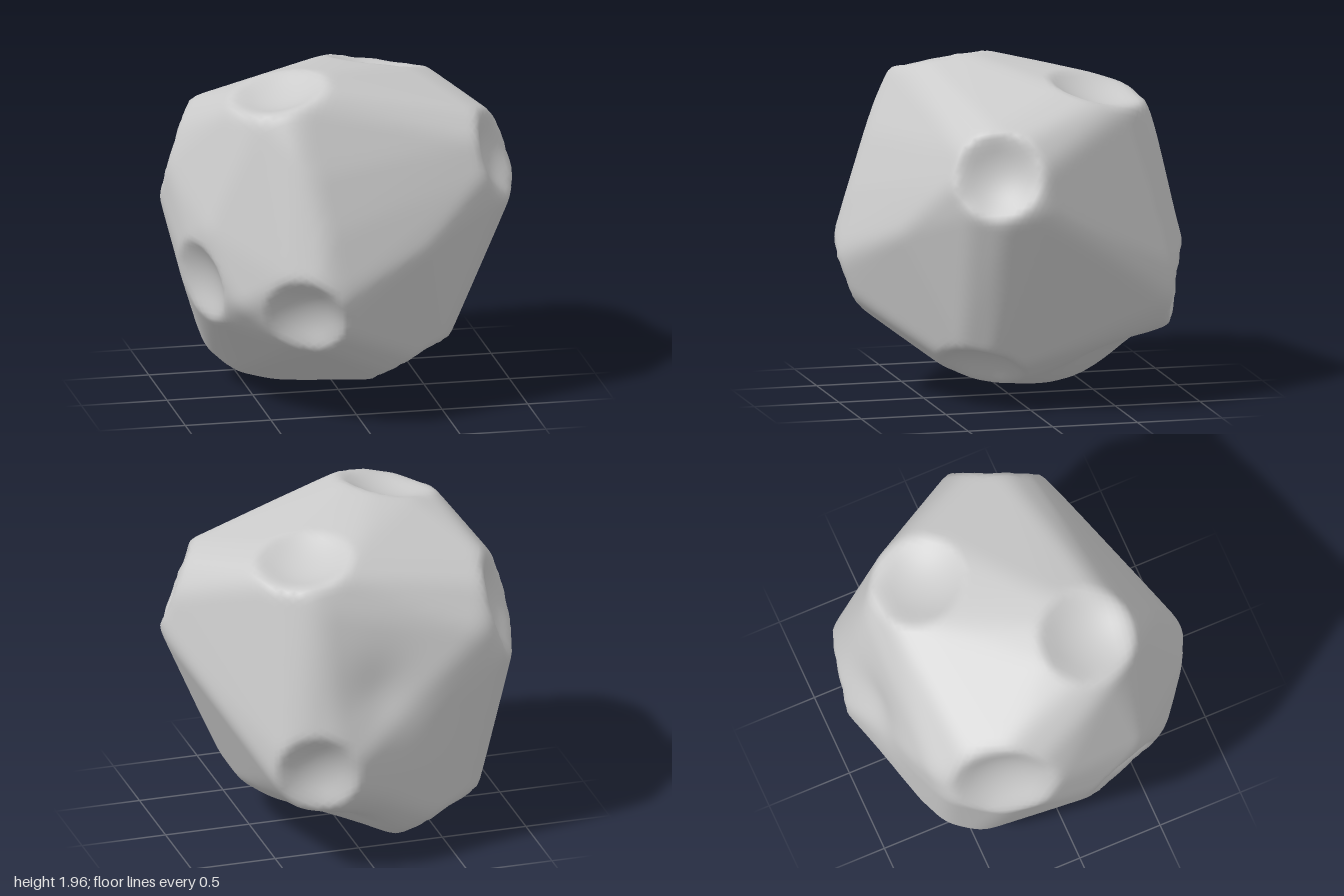
import * as THREE from 'three';
import { mergeVertices } from 'three/addons/utils/BufferGeometryUtils.js';
import { ConvexGeometry } from 'three/addons/geometries/ConvexGeometry.js';

// Craters: rim centre, facing direction, rim radius, depth
const craters = [
  { at: [-0.37, 0.72, 0.84], face: [-0.45, -0.35, 0.85], r: 0.24, depth: 0.09 },
  { at: [0.87, 1.46, 0.28], face: [1, 0.35, 0.45], r: 0.26, depth: 0.09 },
  { at: [-0.42, 1.92, 0.3], face: [-0.2, 1, 0.08], r: 0.28, depth: 0.08 },
  { at: [0.31, 1.84, -0.45], face: [0.14, 1, -0.17], r: 0.28, depth: 0.08 },
  { at: [-0.88, 1.4, -0.42], face: [-1, 0.28, -0.38], r: 0.3, depth: 0.09 },
  { at: [0.37, 0.69, -0.92], face: [0.28, -0.1, -1], r: 0.24, depth: 0.09 },
  { at: [0.37, 0.25, 0.25], face: [0.5, -1, 0.35], r: 0.25, depth: 0.08 },
  { at: [-0.49, 0.16, -0.49], face: [-0.5, -1, -0.5], r: 0.26, depth: 0.08 },
  { at: [-0.87, 0.82, 0.32], face: [-1, -0.2, 0.35], r: 0.24, depth: 0.07 },
].map(({ at, face, r, depth }) => (
  { middle: new THREE.Vector3(...at), normal: new THREE.Vector3(...face).normalize(), r, depth }
));

// Ridges and corners that stand out between the craters
const corners = [
  [-0.13, 1.98, 0.2], [-0.4, 1.68, 0.69], [-0.3, 1.53, 0.76], [-0.25, 1.2, 0.88], [-0.2, 0.87, 0.97],
  [0.37, 1.05, 0.74], [1, 1.25, 0.03], [-0.87, 1.15, 0.45], [-0.72, 0.75, 0.66],
  [-0.78, 1.2, -0.74], [-0.67, 1.4, -0.78], [0.3, 1.65, -0.78], [-0.28, 0, -0.28],
].map((p) => new THREE.Vector3(...p));

// Soft hollows in the body beside the raised back crater
const hollows = [
  { at: new THREE.Vector3(-0.05, 1.1, -0.88), r: 0.25, depth: 0.06 },
  { at: new THREE.Vector3(0.12, 0.33, -0.58), r: 0.25, depth: 0.08 },
];

const CENTRE = new THREE.Vector3(0, 1, 0);

// Eight points round a crater rim
function rimPoints({ middle, normal, r }) {
  const turn = new THREE.Quaternion().setFromUnitVectors(new THREE.Vector3(0, 0, 1), normal);
  return Array.from({ length: 8 }, (_, i) => {
    const a = ((i + 0.5) / 8) * Math.PI * 2;
    return new THREE.Vector3(Math.cos(a) * r, Math.sin(a) * r, 0).applyQuaternion(turn).add(middle);
  });
}

// Planes of the body stretched tightly over rims and corners
function bodyPlanes() {
  const points = [...craters.flatMap(rimPoints), ...corners].map((p) => p.clone().sub(CENTRE));
  const pos = new ConvexGeometry(points).attributes.position;
  const planes = [];
  for (let i = 0; i < pos.count; i += 3) {
    const [a, b, c] = [0, 1, 2].map((k) => new THREE.Vector3().fromBufferAttribute(pos, i + k));
    const normal = b.clone().sub(a).cross(c.sub(a)).normalize();
    planes.push({ normal, offset: normal.dot(a) });
  }
  return planes;
}

// Distance from the centre to the body in one direction
function reach(planes, d) {
  let best = Infinity;
  for (const { normal, offset } of planes) {
    const slope = normal.dot(d);
    if (slope > 1e-6) best = Math.min(best, offset / slope);
  }
  return best;
}

// Reach averaged over a small ring, which rounds the edges
function softReach(planes, d) {
  const side = new THREE.Vector3(0.3, 0.8, 0.5).cross(d).normalize();
  const up = d.clone().cross(side);
  let sum = 2 * reach(planes, d);
  for (let i = 0; i < 8; i++) {
    const a = (i / 8) * Math.PI * 2;
    const near = d.clone().addScaledVector(side, 0.06 * Math.cos(a)).addScaledVector(up, 0.06 * Math.sin(a));
    sum += reach(planes, near.normalize());
  }
  return sum / 10;
}

// Sinks a surface point into the hollows and crater bowls
function sink(point, d) {
  for (const { at, r, depth } of hollows) {
    point.addScaledVector(d, -depth * Math.exp(-point.distanceToSquared(at) / (r * r)));
  }
  const offset = new THREE.Vector3();
  for (const { middle, normal, r, depth } of craters) {
    offset.subVectors(point, middle);
    const height = offset.dot(normal);
    const q = offset.addScaledVector(normal, -height).length() / r;
    if (q < 1 && Math.abs(height) < 0.3) point.addScaledVector(normal, -depth * (1 - q * q));
  }
}

export function createModel() {
  const planes = bodyPlanes();

  // Sphere pushed in and out along its directions
  let geometry = new THREE.IcosahedronGeometry(1, 32);
  geometry.deleteAttribute('normal');
  geometry.deleteAttribute('uv');
  geometry = mergeVertices(geometry, 1e-4);
  const pos = geometry.attributes.position;
  const d = new THREE.Vector3();
  for (let i = 0; i < pos.count; i++) {
    d.fromBufferAttribute(pos, i).normalize();
    const v = d.clone().multiplyScalar(softReach(planes, d)).add(CENTRE);
    sink(v, d);
    pos.setXYZ(i, v.x, v.y, v.z);
  }

  // Centre it and stand it on the ground
  geometry.computeBoundingBox();
  const box = geometry.boundingBox;
  const mid = box.getCenter(new THREE.Vector3());
  geometry.translate(-mid.x, -box.min.y, -mid.z);
  geometry.computeVertexNormals();

  const rock = new THREE.Mesh(geometry, new THREE.MeshStandardMaterial({ color: 0xcccccc }));
  rock.name = 'crateredRock';
  const group = new THREE.Group();
  group.name = 'asteroid';
  group.add(rock);
  return group;
}
